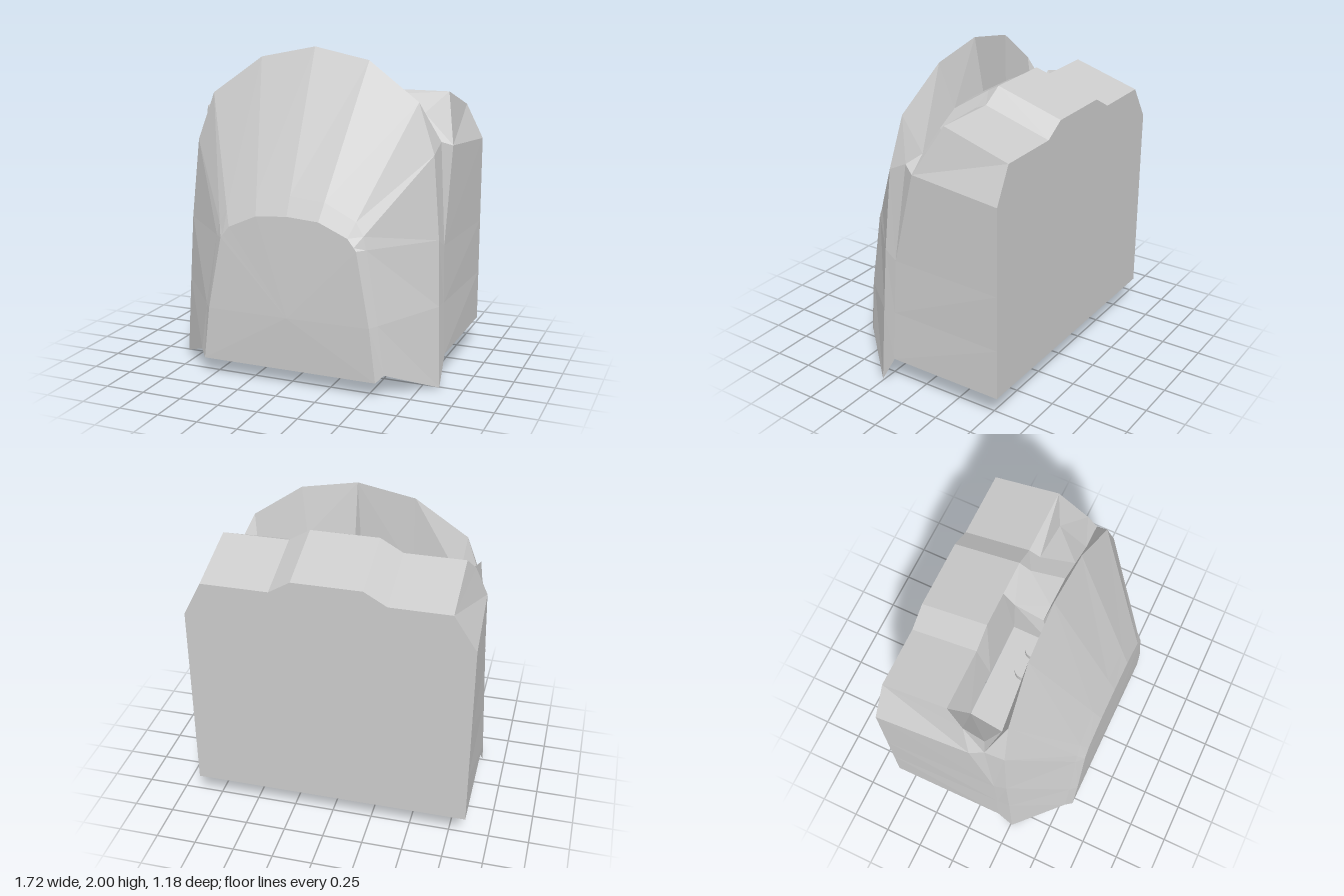
import * as THREE from 'three';

const grey = new THREE.MeshStandardMaterial({ color: 0xcccccc, flatShading: true, side: THREE.DoubleSide });
grey.name = 'plainGrey';

// Flat-sided sheet lofted through cross-sections with equal point counts
function sheet(name, rows) {
  const n = rows[0].length, index = [];
  for (let r = 0; r < rows.length - 1; r++) {
    for (let i = 0; i < n - 1; i++) {
      const a = r * n + i, b = a + n;
      index.push(a, b, a + 1, a + 1, b, b + 1);
    }
  }
  let geo = new THREE.BufferGeometry();
  geo.setAttribute('position', new THREE.Float32BufferAttribute(rows.flat(2), 3));
  geo.setIndex(index);
  geo = geo.toNonIndexed();
  geo.computeVertexNormals();
  const mesh = new THREE.Mesh(geo, grey);
  mesh.name = name;
  return mesh;
}

const flip = ([x, y, z]) => [-x, y, z];
const mirrored = (half) => [...half, ...half.slice(0, -1).reverse().map(flip)];
const lerp = (a, b, t) => a.map((v, i) => v + (b[i] - v) * t);

export function createModel() {
  const model = new THREE.Group();
  model.name = 'shell';
  const add = (name, ...rows) => model.add(sheet(name, rows));

  // Front cowl: arched plate edge flaring back to a tall rim
  const arch = [[.56, .1, .58], [.52, .43, .585], [.435, .88, .578], [.42, .9, .577],
    [.38, .95, .575], [.2, 1.03, .575], [0, 1.045, .575]];
  const rim = [[.855, 0, .26], [.835, .5, .24], [.82, .9, .22], [.775, 1.4, .2],
    [.67, 1.7, .18], [.35, 1.93, .15], [0, 2, .14]];
  const crease = arch.map((p, i) => lerp(p, rim[i], .12));
  crease[0] = [.6, .14, .54];
  add('cowlFlare', mirrored(arch), mirrored(crease), mirrored(rim));

  // Front plate, slightly domed about its centre
  const edge = mirrored(arch);
  add('frontPlate', edge, edge.map(() => [0, .43, .592]));
  add('frontPlateFoot', [[-.56, .1, .58], [.56, .1, .58]], [[0, .43, .592], [0, .43, .592]]);

  // Back of the cowl, folding in to meet the body
  const fold = [[.855, .18, .16], [.84, .5, .155], [.83, .85, .14], [.78, 1.46, .08]];
  const foldLeft = [...fold, [.62, 1.47, .08], [.3, 1.65, .08], [0, 1.67, .08]];
  const foldRight = [...fold.slice(0, 3).map(flip), [-.79, 1.43, .08],
    [-.64, 1.45, .12], [-.35, 1.45, .14], [-.03, 1.45, .14]];
  add('cowlBackLeft', rim, foldLeft);
  add('cowlBackRight', rim.map(flip), foldRight);
  add('cowlBackStep', [[0, 2, .14], [0, 2, .14]], [[-.03, 1.45, .14], [0, 1.67, .08]]);

  // Body side walls
  const wallBack = [.18, .5, .85, 1.39].map((y) => [.86, y, -.59]);
  const wallFront = [...fold.slice(0, 3), [.83, 1.43, 0]];
  add('leftWall', wallBack, wallFront);
  add('rightWall', wallBack.map(flip), wallFront.map(flip));
  add('leftWallCorner', [[.83, .85, .14], [.83, .85, .14]], [[.83, 1.43, 0], [.78, 1.46, .08]]);
  add('rightWallCorner', [[-.83, .85, .14], [-.83, .85, .14]], [[-.83, 1.43, 0], [-.79, 1.43, .08]]);

  // Back wall and roof share a stepped outline with a raised middle
  const outline = [[-.72, 0], [-.35, 0], [-.21, .08], [.21, .08], [.34, 0], [.75, 0]];
  const roofBack = outline.map(([x, h]) => [x, 1.605 + h, -.59]);
  const roofFront = outline.map(([x, h]) => [x, 1.73 + h, -.17]);
  add('roof', roofBack, roofFront);
  const backTop = [[-.86, 1.39, -.59], ...roofBack, [.86, 1.39, -.59]];
  const backMid = backTop.map(([x]) => [x, 1.39, -.59]);
  add('backWall', backTop, backMid, backMid.map(([x]) => [x, .18, -.59]));

  // Sloped shoulders between roof and walls
  add('leftChamfer', [[.86, 1.39, -.59], [.83, 1.43, 0]], [[.75, 1.605, -.59], [.75, 1.73, -.17]]);
  add('rightChamfer', [[-.86, 1.39, -.59], [-.83, 1.43, 0]],
    [[-.72, 1.605, -.59], [-.76, 1.63, -.06]], [[-.72, 1.605, -.59], [-.72, 1.73, -.17]]);

  // Faceted slope from roof down to the cowl on the left half
  add('leftSlope',
    [[0, 1.81, -.17], [.21, 1.81, -.17], [.34, 1.73, -.17], [.75, 1.73, -.17], [.75, 1.73, -.17]],
    [[-.02, 1.77, -.09], [.21, 1.77, -.1], [.34, 1.7, -.1], [.62, 1.6, -.1], [.83, 1.43, 0]],
    [[.1, 1.67, .08], [.3, 1.65, .08], [.45, 1.57, .08], [.62, 1.47, .08], [.78, 1.46, .08]]);
  add('slopeEnd', [[-.02, 1.77, -.09], [-.02, 1.77, -.09]], [[0, 1.67, .08], [.1, 1.67, .08]]);

  // Sunken tray on the right half
  add('trayBack',
    [[-.72, 1.73, -.17], [-.35, 1.73, -.17], [-.21, 1.81, -.17], [0, 1.81, -.17]],
    [[-.62, 1.45, -.09], [-.35, 1.45, -.095], [-.21, 1.45, -.095], [-.03, 1.45, -.095]]);
  add('trayFloor', [[-.62, 1.45, -.09], [-.03, 1.45, -.095]], [[-.64, 1.45, .12], [-.03, 1.45, .14]]);
  add('trayEnd', [[-.03, 1.45, -.095], [-.03, 1.45, .14]], [[-.02, 1.77, -.09], [0, 1.67, .08]]);
  add('trayBackCorner', [[-.03, 1.45, -.095], [-.02, 1.77, -.09]], [[0, 1.81, -.17], [0, 1.81, -.17]]);
  add('trayShoulder',
    [[-.83, 1.43, 0], [-.79, 1.43, .08]],
    [[-.76, 1.63, -.06], [-.77, 1.6, .08]],
    [[-.62, 1.45, -.09], [-.64, 1.45, .12]]);
  add('shoulderCorner', [[-.72, 1.73, -.17], [-.72, 1.73, -.17]], [[-.76, 1.63, -.06], [-.62, 1.45, -.09]]);
  add('shoulderFront', [[-.77, 1.6, .08], [-.77, 1.6, .08]], [[-.79, 1.43, .08], [-.64, 1.45, .12]]);

  // Two round knobs on the tray
  for (const x of [-.26, -.12]) {
    const knob = new THREE.Mesh(new THREE.CylinderGeometry(.055, .055, .06, 24), grey);
    knob.position.set(x, 1.47, .08);
    knob.name = 'knob';
    model.add(knob);
  }
  return model;
}
